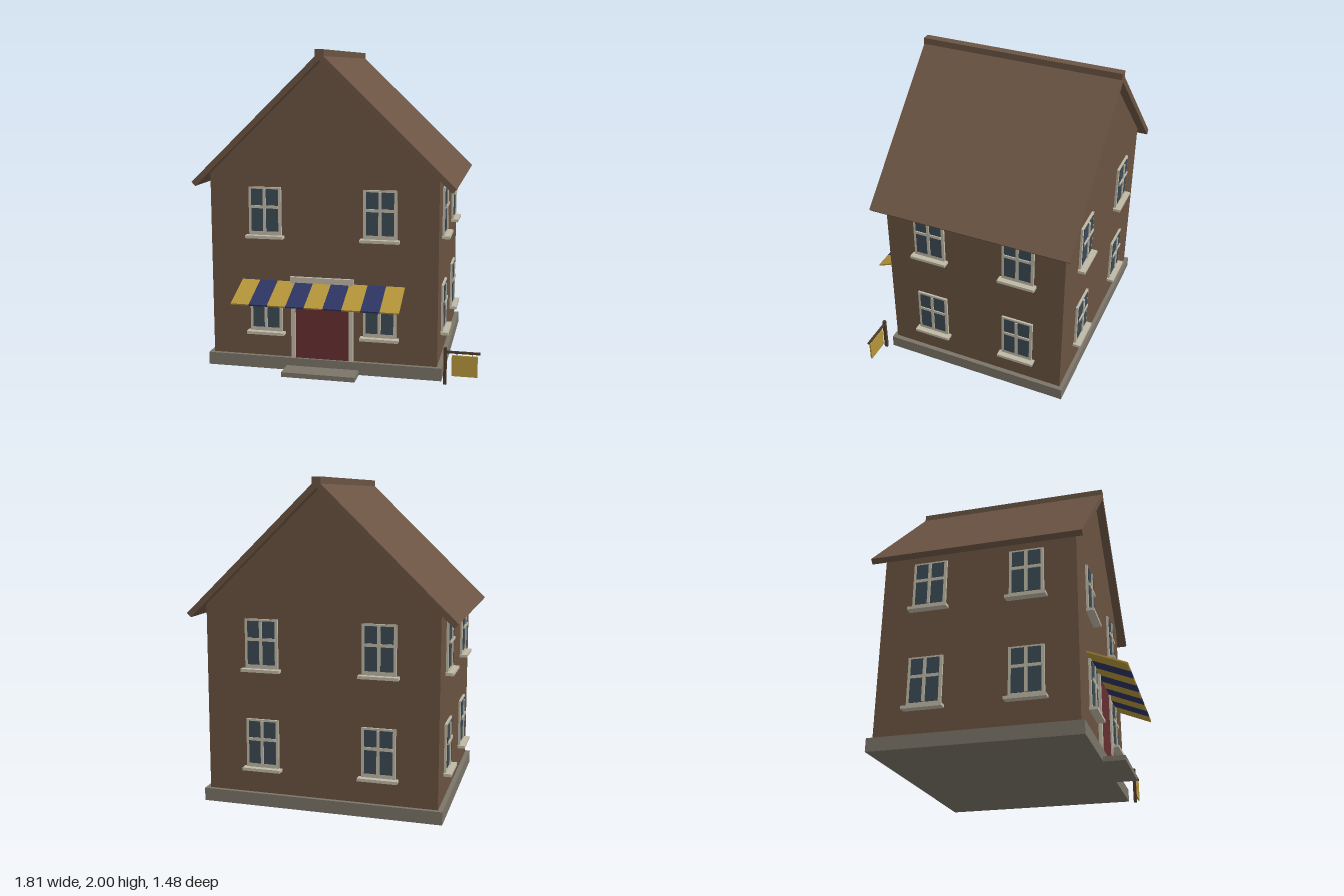
import * as THREE from 'three';

const CX = -0.08, CZ = -0.09;      // house centre
const HW = 0.72, HD = 0.595;       // half width and depth of the walls

const mat = (name, color) => {
  const m = new THREE.MeshStandardMaterial({ color });
  m.name = name;
  return m;
};

export function createModel() {
  const wall = mat('wall brown', 0x6a5341);
  const roofMat = mat('roof brown', 0x6b5443);
  const stone = mat('stone grey', 0x7a7468);
  const trim = mat('trim cream', 0xbfb9a6);
  const glass = mat('glass slate', 0x3c4a54);
  const doorMat = mat('door red', 0x662e31);
  const yellow = mat('awning yellow', 0xb5953a);
  const blue = mat('awning blue', 0x2f3564);
  const iron = mat('dark wood', 0x4c3b2c);

  const model = new THREE.Group();
  model.name = 'house';

  // Box given by its extents
  const box = (parent, name, m, x0, x1, y0, y1, z0, z1) => {
    const mesh = new THREE.Mesh(new THREE.BoxGeometry(x1 - x0, y1 - y0, z1 - z0), m);
    mesh.position.set((x0 + x1) / 2, (y0 + y1) / 2, (z0 + z1) / 2);
    mesh.name = name;
    parent.add(mesh);
    return mesh;
  };
  // Outline in x,y extruded from z0 to z1 around the house centre line
  const prism = (name, m, pts, z0, z1) => {
    const shape = new THREE.Shape(pts.map(([x, y]) => new THREE.Vector2(x, y)));
    const mesh = new THREE.Mesh(
      new THREE.ExtrudeGeometry(shape, { depth: z1 - z0, bevelEnabled: false }), m);
    mesh.position.set(CX, 0, z0);
    mesh.name = name;
    model.add(mesh);
  };

  // Foundation and doorstep
  box(model, 'foundation', stone, -0.83, 0.67, 0, 0.08, -0.71, 0.53);
  box(model, 'doorstep', stone, -0.31, 0.155, 0, 0.03, 0.53, 0.66);

  // Walls with both gables
  prism('walls', wall,
    [[-HW, 0.08], [HW, 0.08], [HW, 1.242], [0, 1.936], [-HW, 1.242]], CZ - HD, CZ + HD);

  // Roof slopes and ridge cap
  for (const s of [1, -1]) {
    prism(s > 0 ? 'leftRoofSlope' : 'rightRoofSlope', roofMat,
      [[0, 1.985], [0, 1.936], [s * 0.8, 1.165], [s * 0.825, 1.19]], -0.74, 0.56);
  }
  box(model, 'ridgeCap', roofMat, CX - 0.027, CX + 0.027, 1.96, 2, -0.74, 0.56);

  // Window, built facing +z with its back on z = 0 and its sill foot on y = 0
  const makeWindow = () => {
    const g = new THREE.Group();
    g.name = 'window';
    box(g, 'windowFrame', trim, -0.104, 0.104, 0.018, 0.32, 0, 0.014);
    box(g, 'windowGlass', glass, -0.086, 0.086, 0.043, 0.308, 0.01, 0.018);
    box(g, 'uprightBar', trim, -0.009, 0.009, 0.043, 0.308, 0.014, 0.025);
    box(g, 'crossBar', trim, -0.086, 0.086, 0.188, 0.206, 0.014, 0.025);
    box(g, 'windowSill', trim, -0.121, 0.121, 0, 0.018, 0, 0.049);
    return g;
  };
  // Two windows on each of two floors, on all four walls
  for (let side = 0; side < 4; side++) {
    const face = new THREE.Group();
    face.name = ['frontWindows', 'leftWindows', 'backWindows', 'rightWindows'][side];
    const gap = side % 2 ? 0.2975 : 0.363;
    for (const x of [-gap, gap]) {
      for (const y of [0.227, 0.845]) {
        const w = makeWindow();
        w.position.set(x, y, side % 2 ? HW : HD);
        face.add(w);
      }
    }
    face.position.set(CX, 0, CZ);
    face.rotation.y = side * Math.PI / 2;
    model.add(face);
  }

  // Door with its surround
  const door = new THREE.Group();
  door.name = 'door';
  box(door, 'doorLeaf', doorMat, -0.252, 0.088, 0.08, 0.57, 0.5, 0.515);
  box(door, 'rightJamb', trim, -0.28, -0.252, 0.08, 0.57, 0.5, 0.526);
  box(door, 'leftJamb', trim, 0.088, 0.116, 0.08, 0.57, 0.5, 0.526);
  box(door, 'lintel', trim, -0.284, 0.12, 0.57, 0.605, 0.5, 0.526);
  model.add(door);

  // Striped sloping awning
  const awning = new THREE.Group();
  awning.name = 'awning';
  const stripe = 1.035 / 9, reach = 0.252;
  for (let i = 0; i < 9; i++) {
    const x = -0.599 + i * stripe;
    box(awning, 'awningStripe', i % 2 ? blue : yellow, x, x + stripe, -0.005, 0.005, 0, reach);
  }
  awning.position.set(0, 0.568, 0.505);
  awning.rotation.x = Math.atan2(0.097, 0.233);
  model.add(awning);

  // Hanging sign on a post
  const sign = new THREE.Group();
  sign.name = 'sign';
  box(sign, 'signPost', iron, 0.686, 0.705, 0, 0.23, 0.56, 0.58);
  box(sign, 'signArm', iron, 0.695, 0.905, 0.198, 0.211, 0.563, 0.576);
  box(sign, 'signBoard', yellow, 0.735, 0.89, 0.056, 0.185, 0.564, 0.575);
  for (const x of [0.765, 0.86]) box(sign, 'signHanger', iron, x - 0.002, x + 0.002, 0.185, 0.2, 0.567, 0.572);
  model.add(sign);

  return model;
}
